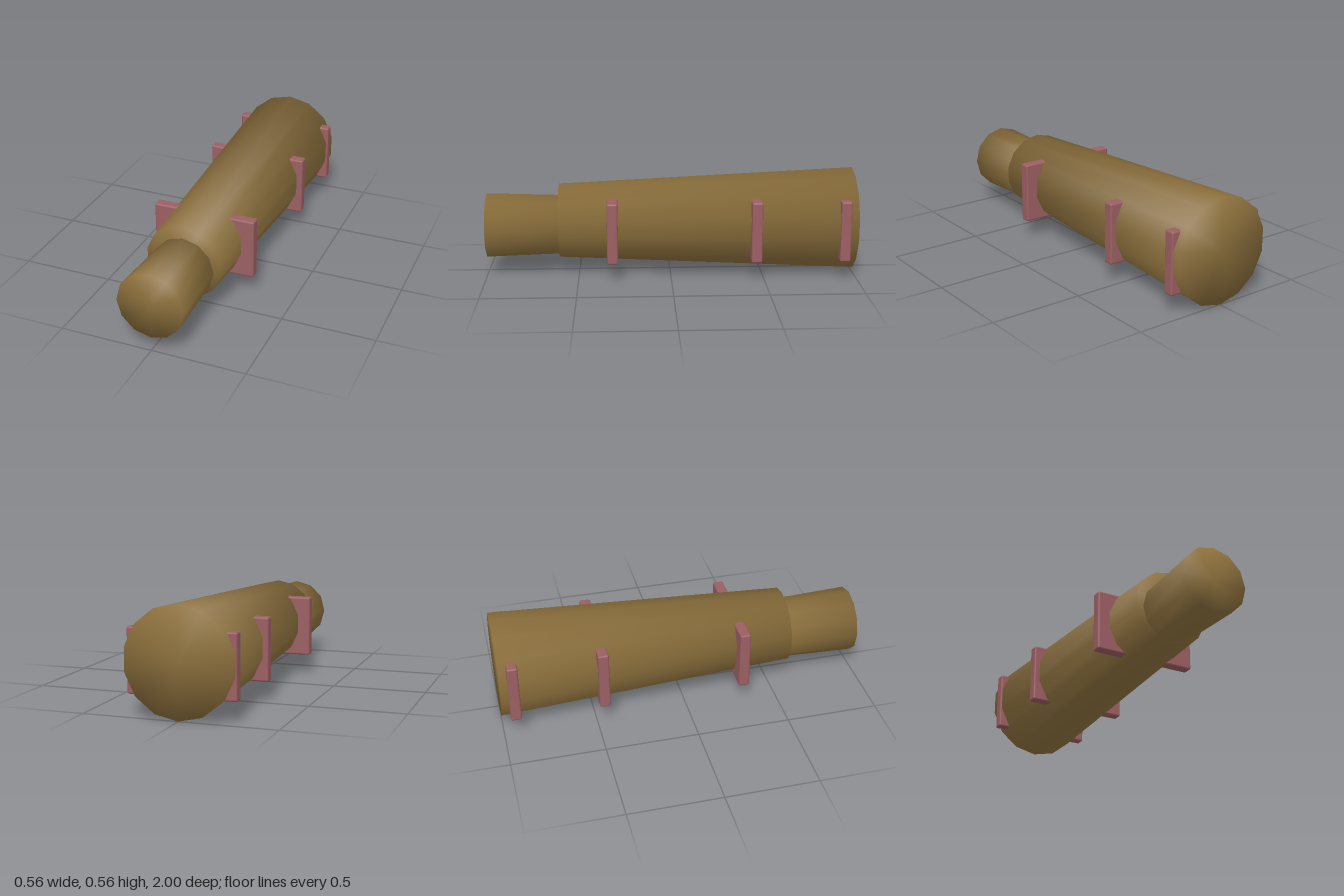
import * as THREE from 'three';
import { RoundedBoxGeometry } from 'three/addons/geometries/RoundedBoxGeometry.js';

const brown = new THREE.MeshStandardMaterial({ color: 0x8b6f3c });
brown.name = 'brown';
const rose = new THREE.MeshStandardMaterial({ color: 0x9c5f63 });
rose.name = 'dusty rose';

// Closed tapered barrel along z, shaded smoothly over its rims
function barrel(name, sides, y, zBack, rBack, zFront, rFront) {
  const profile = [[0, zBack], [rBack, zBack], [rFront, zFront], [0, zFront]]
    .map(([r, z]) => new THREE.Vector2(r, z));
  const geometry = new THREE.LatheGeometry(profile, sides);
  const position = geometry.attributes.position;
  const middle = (zBack + zFront) / 2;
  const n = new THREE.Vector3();
  for (let i = 0; i < position.count; i++) {
    n.fromBufferAttribute(position, i);
    const axial = n.y > middle ? 1 : -1;
    n.y = 0;
    if (n.length() < 0.001) n.set(0, axial, 0);
    else n.normalize().setY(axial * (1 - 2 / sides)).normalize();
    geometry.attributes.normal.setXYZ(i, n.x, n.y, n.z);
  }
  geometry.rotateX(Math.PI / 2);
  const mesh = new THREE.Mesh(geometry, brown);
  mesh.name = name;
  mesh.position.y = y;
  return mesh;
}

export function createModel() {
  const model = new THREE.Group();
  model.name = 'taperedTube';

  // Main body and narrower flared nozzle
  model.add(barrel('body', 14, 0.284, -1, 0.282, 0.605, 0.205));
  model.add(barrel('nozzle', 12, 0.259, 0.55, 0.164, 1, 0.179));

  // Bracket plates passing through the body
  for (const z of [0.315, -0.455, -0.93]) {
    const plate = new THREE.Mesh(new RoundedBoxGeometry(0.562, 0.331, 0.058, 2, 0.01), rose);
    plate.name = 'bracketPlate';
    plate.position.set(0, 0.272, z);
    model.add(plate);
  }
  return model;
}
